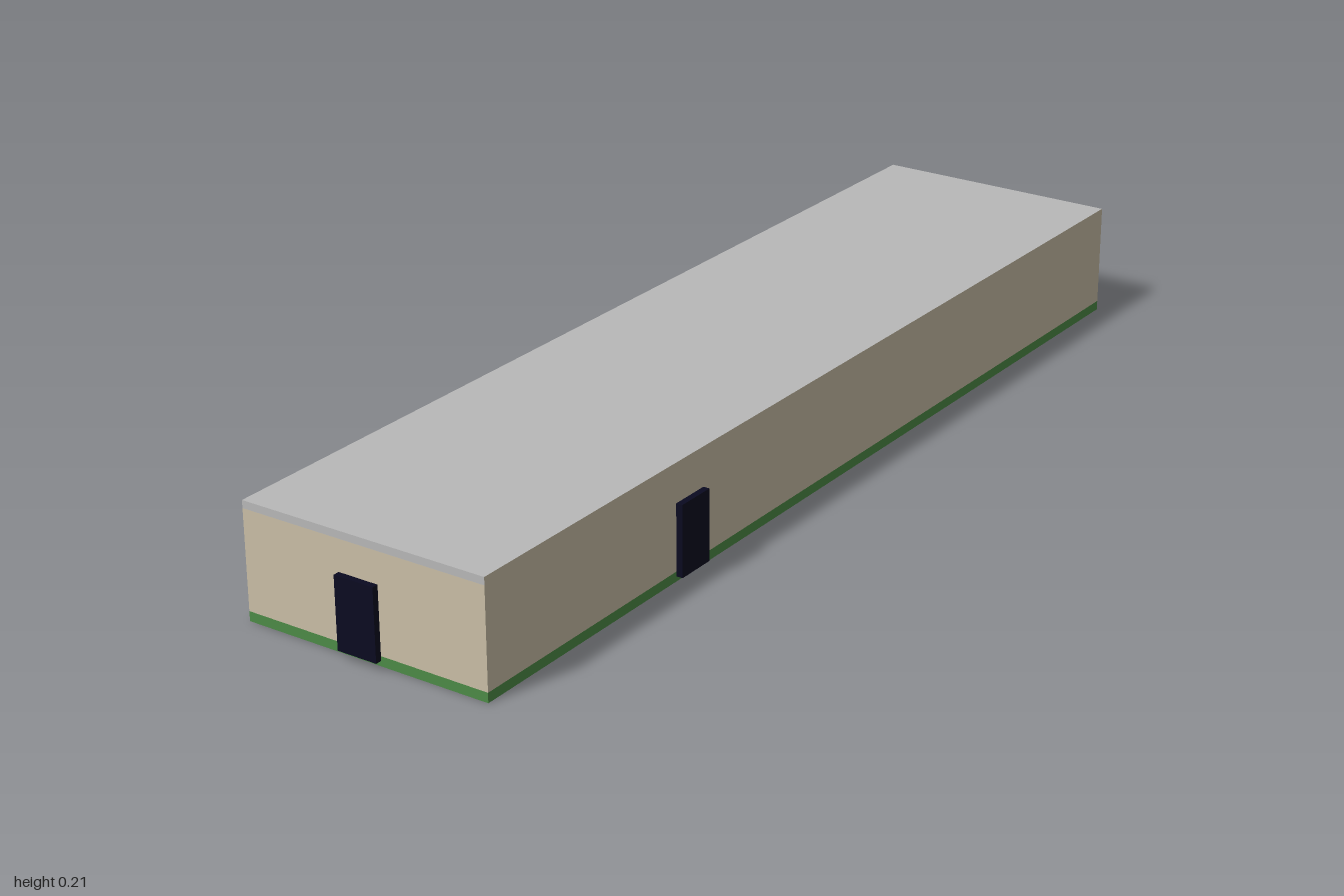
import * as THREE from 'three';

const mat = (name, color) => {
  const m = new THREE.MeshStandardMaterial({ color });
  m.name = name;
  return m;
};

export function createModel() {
  const tan = mat('tan wall', 0xc9bea6);
  const grey = mat('grey roof', 0xb8b8b8);
  const green = mat('green base', 0x4c8a46);
  const navy = mat('dark navy door', 0x0a0a20);

  const model = new THREE.Group();
  model.name = 'longBuilding';

  // Box given by its minimum and maximum corners
  const block = (name, material, [x0, y0, z0], [x1, y1, z1]) => {
    const mesh = new THREE.Mesh(new THREE.BoxGeometry(x1 - x0, y1 - y0, z1 - z0), material);
    mesh.position.set((x0 + x1) / 2, (y0 + y1) / 2, (z0 + z1) / 2);
    mesh.name = name;
    model.add(mesh);
  };

  const W = 0.242, back = -1, front = 0.979;

  // Stacked hall: base, walls, roof slab (its long edges carry the wall colour)
  block('base', green, [-W, 0, back], [W, 0.018, front]);
  block('walls', tan, [-W, 0.018, back], [W, 0.2, front]);
  block('roof', [tan, tan, grey, grey, grey, grey], [-W, 0.2, back], [W, 0.214, front]);

  // Doors standing just clear of the walls
  block('frontDoor', navy, [-0.039, 0.016, 0.988], [0.039, 0.148, 1]);
  block('leftDoor', navy, [0.25, 0.016, 0.412], [0.262, 0.148, 0.49]);
  block('rightDoor', navy, [-0.262, 0.016, -0.625], [-0.25, 0.156, -0.547]);

  return model;
}
